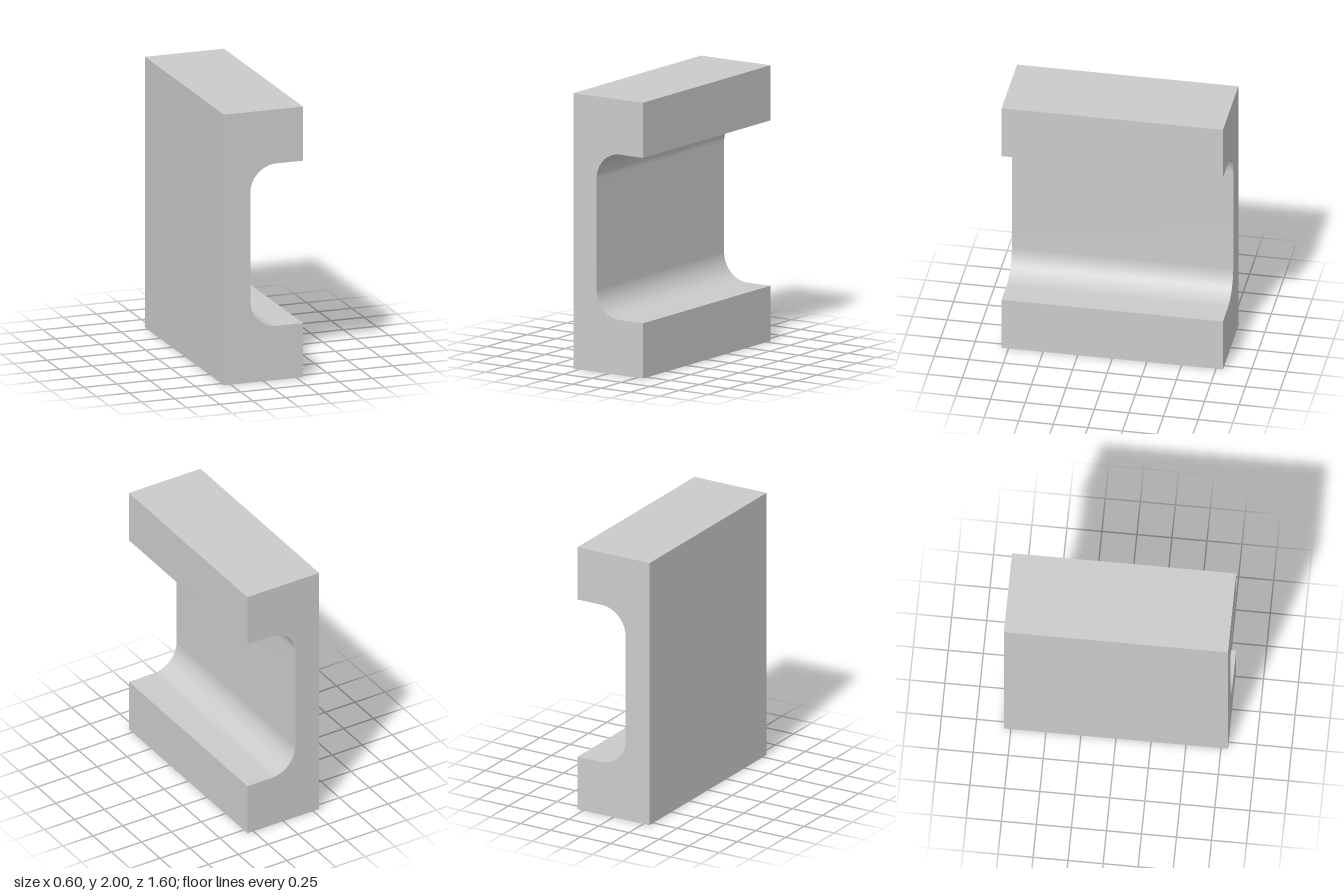
import * as THREE from 'three';
import { toCreasedNormals } from 'three/addons/utils/BufferGeometryUtils.js';

const HALF_WIDTH = 0.3, HEIGHT = 2, DEPTH = 1.6;
const FLANGE = 0.4;      // thickness of the top and bottom flanges
const WEB_X = -0.1;      // inner face of the upright web
const FILLET = 0.2;      // radius of the inner corners

export function createModel() {
  const group = new THREE.Group();
  group.name = 'channelBlock';

  // C-shaped section, open towards +x, with rounded inner corners
  const cx = WEB_X + FILLET;
  const section = new THREE.Shape();
  section.moveTo(-HALF_WIDTH, 0);
  section.lineTo(HALF_WIDTH, 0);
  section.lineTo(HALF_WIDTH, FLANGE);
  section.lineTo(cx, FLANGE);
  section.absarc(cx, FLANGE + FILLET, FILLET, -Math.PI / 2, -Math.PI, true);
  section.lineTo(WEB_X, HEIGHT - FLANGE - FILLET);
  section.absarc(cx, HEIGHT - FLANGE - FILLET, FILLET, Math.PI, Math.PI / 2, true);
  section.lineTo(HALF_WIDTH, HEIGHT - FLANGE);
  section.lineTo(HALF_WIDTH, HEIGHT);
  section.lineTo(-HALF_WIDTH, HEIGHT);
  section.closePath();

  // Extrude along z, keeping the fillets smooth and the edges sharp
  const extruded = new THREE.ExtrudeGeometry(section, { depth: DEPTH, bevelEnabled: false, curveSegments: 24 });
  extruded.translate(0, 0, -DEPTH / 2);
  const channel = new THREE.Mesh(
    toCreasedNormals(extruded, 0.5),
    new THREE.MeshStandardMaterial({ color: 0xcccccc })
  );
  channel.name = 'channel';
  group.add(channel);
  return group;
}
